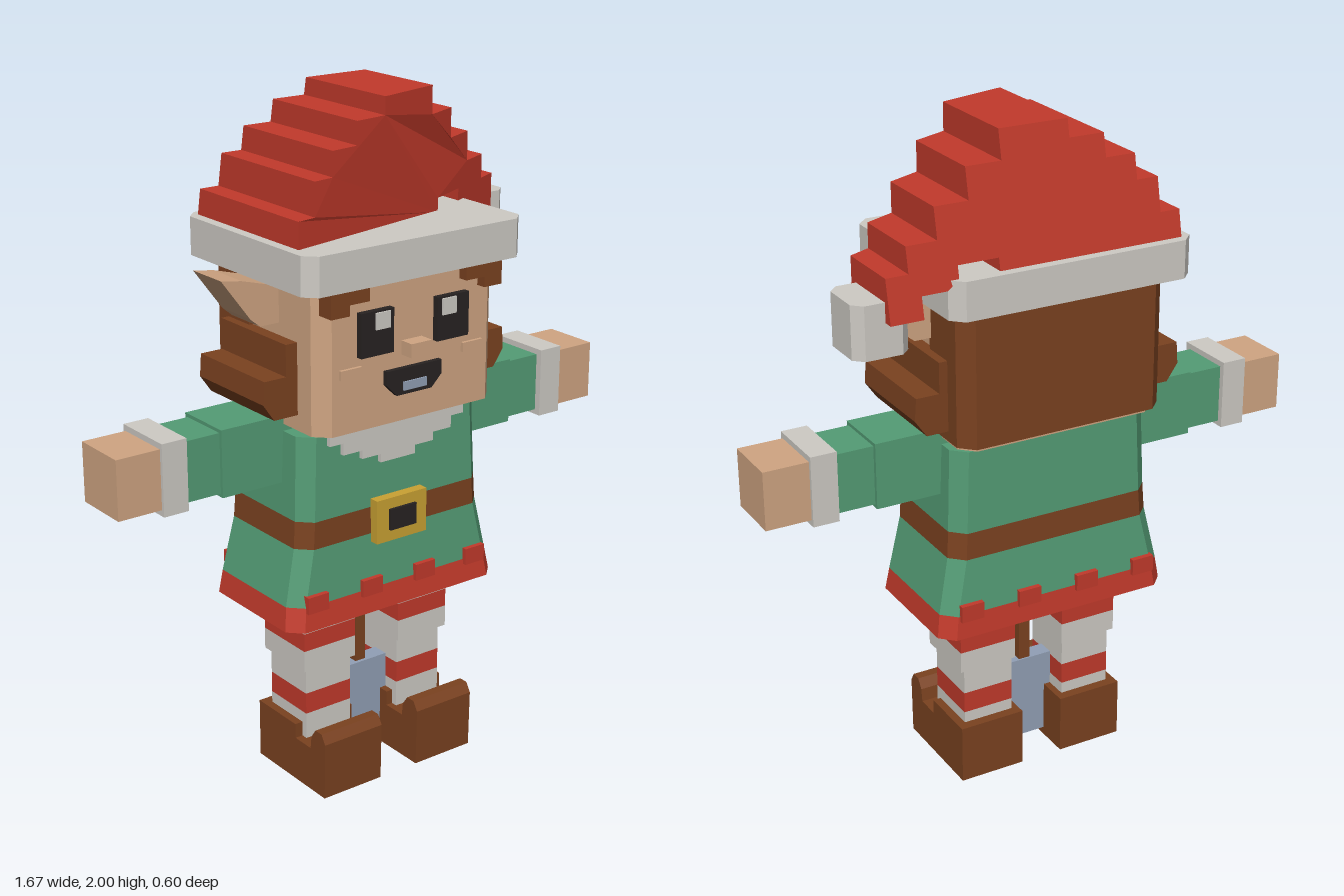
import * as THREE from 'three';

const mat = (name, color) => {
  const m = new THREE.MeshStandardMaterial({ color });
  m.name = name;
  return m;
};

export function createModel() {
  const root = new THREE.Group();
  root.name = 'elf';
  const skin = mat('skin', 0xd0a582), red = mat('red', 0xc23a2b), green = mat('green', 0x549c75),
    brown = mat('brown', 0x7b4220), white = mat('white', 0xcecbc5), gold = mat('gold', 0xcaa233),
    dark = mat('black', 0x282322), steel = mat('steel', 0x92a0b6);

  const add = (name, geo, m) => {
    const mesh = new THREE.Mesh(geo, m);
    mesh.name = name;
    root.add(mesh);
    return mesh;
  };

  // Box from its bounds
  const box = (name, m, x0, x1, y0, y1, z0, z1) =>
    add(name, new THREE.BoxGeometry(Math.abs(x1 - x0), y1 - y0, z1 - z0)
      .translate((x0 + x1) / 2, (y0 + y1) / 2, (z0 + z1) / 2), m);

  // Stack of rectangles with cut corners; ring = [y, x0, x1, z0, z1, backCut, frontCut]
  const loft = (name, m, rings) => {
    const loops = rings.map(([y, x0, x1, z0, z1, c, f = c]) => [
      [x0 + f, y, z1], [x1 - f, y, z1], [x1, y, z1 - f], [x1, y, z0 + c],
      [x1 - c, y, z0], [x0 + c, y, z0], [x0, y, z0 + c], [x0, y, z1 - f]]);
    const pos = [];
    const tri = (a, b, c) => pos.push(...a, ...b, ...c);
    for (let k = 0; k + 1 < loops.length; k++) {
      for (let i = 0; i < 8; i++) {
        const j = (i + 1) % 8, lo = loops[k], hi = loops[k + 1];
        tri(lo[i], lo[j], hi[j]);
        tri(lo[i], hi[j], hi[i]);
      }
    }
    const bottom = loops[0], top = loops[loops.length - 1];
    for (let i = 1; i < 7; i++) {
      tri(top[0], top[i], top[i + 1]);
      tri(bottom[0], bottom[i + 1], bottom[i]);
    }
    const g = new THREE.BufferGeometry();
    g.setAttribute('position', new THREE.Float32BufferAttribute(pos, 3));
    g.computeVertexNormals();
    return add(name, g, m);
  };
  const cutBox = (name, m, x0, x1, y0, y1, z0, z1, c, f = c) =>
    loft(name, m, [[y0, x0, x1, z0, z1, c, f], [y1, x0, x1, z0, z1, c, f]]);

  // Outline in x and y, pushed out from z0 to z1
  const prism = (pts, z0, z1) => new THREE.ExtrudeGeometry(
    new THREE.Shape(pts.map(p => new THREE.Vector2(...p))),
    { depth: z1 - z0, bevelEnabled: false }).translate(0, 0, z0);
  const flip = (pts, s) => pts.map(([x, y]) => [x * s, y]);

  // Tunic: chest, belt, flared skirt and hem
  const ring = (y, x, zf, zb) => [y, -x, x, -zb, zf, 0.04];
  const chest = ring(1.105, 0.31, 0.185, 0.18), beltTop = ring(0.86, 0.32, 0.19, 0.184),
    beltLow = ring(0.78, 0.325, 0.191, 0.187), hemTop = ring(0.615, 0.36, 0.2, 0.2),
    hemLow = ring(0.545, 0.37, 0.21, 0.207);
  loft('chest', green, [beltTop, chest]);
  loft('belt', brown, [beltLow, beltTop]);
  loft('skirt', green, [hemTop, beltLow]);
  loft('hem', red, [hemLow, hemTop]);
  box('underSkirt', green, -0.24, 0.24, 0.51, 0.56, -0.14, 0.145);
  for (const x of [-0.285, -0.095, 0.095, 0.28]) {
    box('hemToothFront', red, x - 0.035, x + 0.035, 0.6, 0.65, 0.17, 0.213);
    box('hemToothBack', red, x - 0.035, x + 0.035, 0.6, 0.65, -0.213, -0.17);
  }

  // Buckle and stepped collar
  box('buckle', gold, -0.088, 0.088, 0.755, 0.885, 0.18, 0.22);
  box('buckleCentre', dark, -0.046, 0.046, 0.79, 0.853, 0.2, 0.229);
  const collar = [[0.235, 1.11], [0.235, 1.075], [0.19, 1.075], [0.19, 1.04], [0.125, 1.04],
    [0.125, 1.015], [0.06, 1.015], [0.06, 0.99]];
  add('collar', prism([...collar, ...flip(collar, -1).reverse()], 0.17, 0.2), white);

  // Head and the hair shell behind it
  box('neck', skin, -0.15, 0.15, 1.08, 1.14, -0.1, 0.09);
  cutBox('head', skin, -0.308, 0.308, 1.125, 1.56, -0.225, 0.255, 0.04);
  cutBox('backHair', brown, -0.32, 0.32, 1.14, 1.56, -0.245, -0.055, 0.04, 0.001);

  // Face
  box('nose', skin, -0.035, 0.035, 1.315, 1.355, 0.24, 0.3);
  add('mouth', prism([[-0.095, 1.28], [-0.095, 1.24], [-0.06, 1.205], [0.06, 1.205],
    [0.095, 1.24], [0.095, 1.28]], 0.25, 0.27), dark);
  box('tongue', steel, -0.04, 0.04, 1.217, 1.242, 0.26, 0.275);

  const ear = [[0.3, 1.53], [0.335, 1.52], [0.425, 1.545], [0.49, 1.555], [0.4, 1.435],
    [0.37, 1.41], [0.3, 1.41]];
  const sideHair = [[0.3, 1.375], [0.345, 1.375], [0.345, 1.285], [0.415, 1.285],
    [0.42, 1.22], [0.385, 1.17], [0.3, 1.17]];
  // Boot outline in z and y, with a curled toe
  const boot = [[-0.115, 0], [0.213, 0], [0.217, 0.175], [0.2, 0.203], [0.17, 0.203],
    [0.15, 0.175], [0.145, 0.135], [0.07, 0.135], [0.07, 0.18], [-0.115, 0.18]];

  for (const s of [-1, 1]) {
    const side = s > 0 ? 'left' : 'right';
    const sbox = (name, m, x0, x1, ...r) => box(side + name, m, s * x0, s * x1, ...r);

    // Eyes, cheeks and fringe
    sbox('Eye', dark, 0.075, 0.185, 1.335, 1.46, 0.25, 0.274);
    sbox('EyeShine', white, 0.09, 0.138, 1.408, 1.455, 0.26, 0.279);
    sbox('Cheek', skin, 0.175, 0.245, 1.283, 1.31, 0.24, 0.265);
    sbox('FringeOuter', brown, 0.23, 0.292, 1.465, 1.54, 0.21, 0.285);
    sbox('FringeInner', brown, 0.165, 0.23, 1.495, 1.54, 0.24, 0.285);
    add(side + 'Ear', prism(flip(ear, s), -0.065, 0.07), skin);
    add(side + 'SideHair', prism(flip(sideHair, s), -0.157, 0.153), brown);

    // Arm
    sbox('UpperSleeve', green, 0.28, 0.51, 0.955, 1.15, -0.095, 0.085);
    sbox('LowerSleeve', green, 0.51, 0.63, 0.965, 1.14, -0.083, 0.075);
    sbox('Cuff', white, 0.625, 0.702, 0.95, 1.157, -0.1, 0.095);
    sbox('Hand', skin, 0.7, 0.835, 0.968, 1.14, -0.09, 0.085);

    // Striped stocking, stacked in bands
    for (const [m, y0, y1] of [[white, 0.36, 0.425], [red, 0.425, 0.48], [white, 0.48, 0.55]])
      sbox('Thigh', m, 0.08, 0.26, y0, y1, -0.095, 0.105);
    for (const [m, y0, y1] of [[white, 0.13, 0.215], [red, 0.215, 0.28], [white, 0.28, 0.36]])
      sbox('Shin', m, 0.087, 0.245, y0, y1, -0.085, 0.09);

    add(side + 'Boot', prism(boot, -0.102, 0.102).rotateY(-Math.PI / 2)
      .translate(s * 0.168, 0, 0), brown);
  }

  // Tool standing between the legs
  box('toolHandle', brown, -0.018, 0.018, 0.28, 0.53, -0.01, 0.026);
  box('toolBlade', steel, -0.088, 0.088, 0.025, 0.29, -0.015, 0.037);

  // Hat: a stepped outline whose front and back lean in
  cutBox('hatBrim', white, -0.37, 0.37, 1.535, 1.645, -0.3, 0.295, 0.035);
  const hat = prism([[-0.34, 1.64], [-0.34, 1.72], [-0.28, 1.72], [-0.28, 1.815], [-0.215, 1.815],
    [-0.215, 1.885], [-0.125, 1.885], [-0.125, 1.95], [-0.02, 1.95], [-0.02, 2], [0.185, 2],
    [0.185, 1.92], [0.29, 1.92], [0.29, 1.835], [0.39, 1.835], [0.39, 1.75], [0.48, 1.75],
    [0.48, 1.68], [0.545, 1.68], [0.545, 1.56], [0.45, 1.56], [0.45, 1.62], [0.375, 1.62],
    [0.34, 1.645], [0.34, 1.68], [0.22, 1.68], [0.22, 1.64]], 0, 1);
  const front = [[-0.34, 0.21], [-0.02, 0.16], [0.2, 0.1], [0.545, -0.06]];
  const frontZ = x => {
    let i = 0;
    while (i < front.length - 2 && x > front[i + 1][0]) i++;
    const [[x0, a], [x1, b]] = [front[i], front[i + 1]];
    return a + (b - a) * (x - x0) / (x1 - x0);
  };
  const p = hat.attributes.position;
  for (let i = 0; i < p.count; i++)
    p.setZ(i, p.getZ(i) > 0.5 ? frontZ(p.getX(i)) : -0.2 - 0.2 * (2 - p.getY(i)));
  const flatHat = hat.index ? hat.toNonIndexed() : hat;
  flatHat.computeVertexNormals();
  add('hat', flatHat, red);
  cutBox('hatTassel', white, 0.47, 0.63, 1.465, 1.615, -0.258, -0.088, 0.027);

  return root;
}
